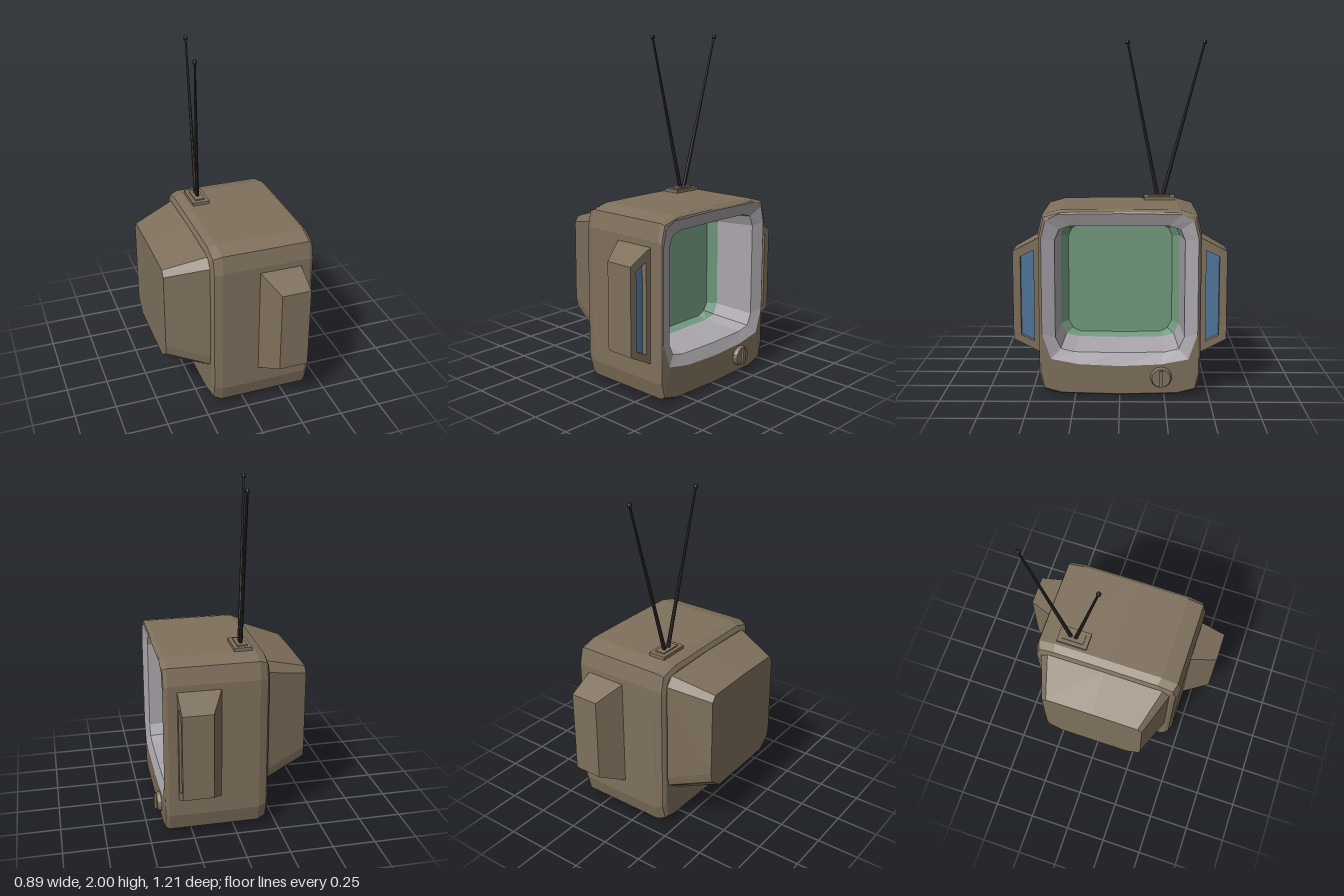
import * as THREE from 'three';

const mat = (name, color, double) => {
  const m = new THREE.MeshStandardMaterial({ color, flatShading: true });
  m.name = name;
  if (double) m.side = THREE.DoubleSide;
  return m;
};

// Full [z, y] ring from one half, listed bottom centre to top centre
const mirrorRing = half => [...half, ...half.slice(1, -1).reverse().map(([z, y]) => [-z, y])];

const scaleRing = (ring, s, cy) => ring.map(([z, y]) => [z * s, cy + (y - cy) * s]);

// Skin over sections [x, ring]; running back towards -x makes a cavity
function loft(sections, { startCap = false, endCap = false } = {}) {
  const pos = [];
  const tri = (...pts) => pts.forEach(p => pos.push(...p));
  const rings = sections.map(([x, ring]) => ring.map(([z, y]) => [x, y, z]));
  const n = rings[0].length;
  for (let k = 0; k < rings.length - 1; k++) {
    for (let i = 0; i < n; i++) {
      const j = (i + 1) % n, a = rings[k], b = rings[k + 1];
      tri(a[i], b[i], a[j]);
      tri(a[j], b[i], b[j]);
    }
  }
  const cap = (ring, front) => {
    const c = [0, 1, 2].map(d => ring.reduce((s, p) => s + p[d], 0) / n);
    for (let i = 0; i < n; i++) {
      const j = (i + 1) % n;
      if (front) tri(c, ring[j], ring[i]);
      else tri(c, ring[i], ring[j]);
    }
  };
  if (startCap) cap(rings[0], false);
  if (endCap) cap(rings[rings.length - 1], true);
  const g = new THREE.BufferGeometry();
  g.setAttribute('position', new THREE.Float32BufferAttribute(pos, 3));
  g.computeVertexNormals();
  return g;
}

export function createModel() {
  const model = new THREE.Group();
  model.name = 'television';
  const casing = mat('casing brown', 0x7f705c);
  const grey = mat('bezel grey', 0xaaa6ac);
  const green = mat('screen green', 0x70997c);
  const blue = mat('vent blue', 0x50779f);
  const dark = mat('antenna dark', 0x2f2b28);

  const add = (name, geometry, material, parent = model) => {
    const m = new THREE.Mesh(geometry, material);
    m.name = name;
    parent.add(m);
    return m;
  };

  // Outlines of the cabinet, bezel and screen
  const outer = mirrorRing([[0, 0], [0.33, 0.008], [0.43, 0.035], [0.453, 0.13],
    [0.453, 0.93], [0.43, 1.03], [0.33, 1.058], [0, 1.06]]);
  const rim = mirrorRing([[0, 0.175], [0.23, 0.185], [0.385, 0.215], [0.435, 0.36],
    [0.435, 0.9], [0.41, 1.0], [0.34, 1.035], [0, 1.04]]);
  const well = mirrorRing([[0, 0.252], [0.25, 0.257], [0.325, 0.275], [0.355, 0.34],
    [0.355, 0.88], [0.33, 0.94], [0.27, 0.96], [0, 0.963]]);
  const glass = mirrorRing([[0, 0.28], [0.235, 0.282], [0.28, 0.305], [0.305, 0.35],
    [0.305, 0.86], [0.285, 0.905], [0.24, 0.932], [0, 0.935]]);

  // Cabinet, from the back edge round to the front rim
  add('cabinet', loft([
    [-0.2, scaleRing(outer, 0.92, 0.53)],
    [-0.187, scaleRing(outer, 0.965, 0.53)],
    [-0.14, outer],
    [0.385, outer],
    [0.405, scaleRing(outer, 0.978, 0.53)],
    [0.41, rim],
  ], { startCap: true }), casing);

  // Tapered housing behind the cabinet
  add('rearHousing', loft([
    [-0.445, mirrorRing([[0, 0.295], [0.23, 0.298], [0.305, 0.36], [0.315, 0.42], [0.312, 0.89], [0.285, 0.925], [0, 0.93]])],
    [-0.19, mirrorRing([[0, 0.195], [0.28, 0.2], [0.395, 0.28], [0.407, 0.34], [0.405, 0.95], [0.36, 1.005], [0, 1.015]])],
  ], { startCap: true }), casing);

  // Recessed bezel and screen
  add('bezel', loft([
    [0.41, rim],
    [0.385, scaleRing(well, 1.02, 0.61)],
    [0.27, well],
    [0.13, scaleRing(well, 0.975, 0.61)],
  ]), grey);
  add('screen', loft([[0.13, scaleRing(well, 0.975, 0.61)], [0.08, glass]], { endCap: true }), green);

  // Side vents with a recessed panel facing forward
  for (const side of [1, -1]) {
    const vent = new THREE.Group();
    vent.name = side > 0 ? 'ventA' : 'ventB';
    model.add(vent);
    const flip = ring => side > 0 ? ring : ring.map(([z, y]) => [-z, y]).reverse();
    const root = flip([[0.45, 0.23], [0.45, 0.23], [0.45, 0.895], [0.45, 0.895]]);
    const full = flip([[0.45, 0.23], [0.603, 0.31], [0.603, 0.815], [0.45, 0.895]]);
    const slot = flip([[0.485, 0.295], [0.56, 0.332], [0.56, 0.785], [0.485, 0.82]]);
    add('ventHousing', loft([[0.08, root], [0.155, full], [0.33, full], [0.33, slot], [0.3, slot]]), casing, vent);
    add('ventPanel', loft([[0.3, slot]], { endCap: true }), blue, vent);
  }

  // Control knob with a grip ridge
  const knob = new THREE.Group();
  knob.name = 'knob';
  knob.position.set(0.405, 0.11, -0.232);
  model.add(knob);
  const dial = add('dial', new THREE.CylinderGeometry(0.052, 0.062, 0.026, 16), casing, knob);
  dial.rotation.z = -Math.PI / 2;
  dial.position.x = 0.013;
  add('grip', new THREE.BoxGeometry(0.02, 0.09, 0.02), casing, knob).position.x = 0.031;

  // Antenna base: a stepped plate
  add('antennaBase', new THREE.BoxGeometry(0.104, 0.03, 0.185), casing).position.set(-0.07, 1.063, -0.232);
  add('antennaSocket', new THREE.BoxGeometry(0.06, 0.012, 0.13), casing).position.set(-0.07, 1.079, -0.232);

  // Two tapered antenna rods with ball tips
  const up = new THREE.Vector3(0, 1, 0);
  [[[-0.07, 1.07, -0.25], [-0.042, 1.984, -0.492]],
   [[-0.07, 1.07, -0.222], [-0.13, 1.988, -0.042]]].forEach(([from, to], i) => {
    const a = new THREE.Vector3(...from), b = new THREE.Vector3(...to);
    const dir = b.clone().sub(a);
    const rod = add('antennaRod' + (i + 1), new THREE.CylinderGeometry(0.006, 0.012, dir.length(), 8), dark);
    rod.position.copy(a).lerp(b, 0.5);
    rod.quaternion.setFromUnitVectors(up, dir.normalize());
    add('antennaTip' + (i + 1), new THREE.SphereGeometry(0.014, 8, 6), dark).position.copy(b);
  });

  return model;
}
